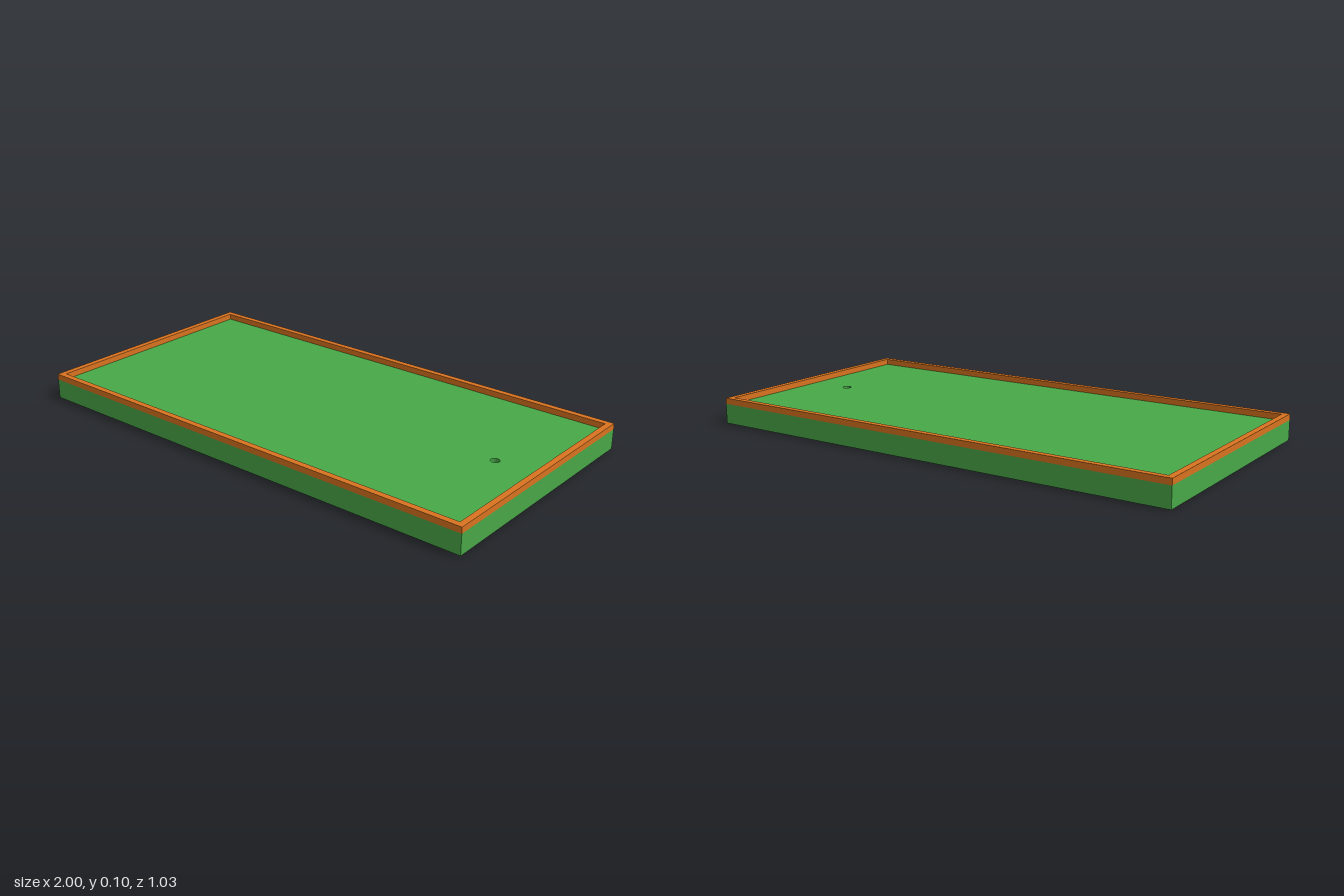
import * as THREE from 'three';

const W = 2, D = 1.026, BASE_H = 0.081, TOTAL_H = 0.105, RIM = 0.025;
const CUP = { x: 0.8, z: 0, r: 0.0175, floor: 0.03 };

function rectangle(PathType, w, d) {
  const p = new PathType();
  p.moveTo(-w / 2, -d / 2);
  p.lineTo(w / 2, -d / 2);
  p.lineTo(w / 2, d / 2);
  p.lineTo(-w / 2, d / 2);
  p.closePath();
  return p;
}

// Extrude a floor-plan shape upward from y0 to y1
function slab(name, shape, y0, y1, material) {
  const geo = new THREE.ExtrudeGeometry(shape, { depth: y1 - y0, bevelEnabled: false, curveSegments: 24 });
  geo.rotateX(-Math.PI / 2);
  geo.translate(0, y0, 0);
  const mesh = new THREE.Mesh(geo, material);
  mesh.name = name;
  return mesh;
}

export function createModel() {
  const group = new THREE.Group();
  group.name = 'puttingTray';
  const green = new THREE.MeshStandardMaterial({ color: 0x48a848 });
  const orange = new THREE.MeshStandardMaterial({ color: 0xd9731f });

  // Green bed with a round cup cut into it
  const bed = rectangle(THREE.Shape, W, D);
  const hole = new THREE.Path();
  hole.absarc(CUP.x, -CUP.z, CUP.r, 0, Math.PI * 2, true);
  bed.holes.push(hole);
  group.add(slab('bed', bed, 0, BASE_H, green));

  // Plug that closes the bottom of the cup
  const cupFloor = new THREE.Mesh(new THREE.CylinderGeometry(CUP.r, CUP.r, CUP.floor, 48), green);
  cupFloor.position.set(CUP.x, CUP.floor / 2, CUP.z);
  cupFloor.name = 'cupFloor';
  group.add(cupFloor);

  // Raised border around the edge
  const rim = rectangle(THREE.Shape, W, D);
  rim.holes.push(rectangle(THREE.Path, W - 2 * RIM, D - 2 * RIM));
  group.add(slab('rim', rim, BASE_H, TOTAL_H, orange));

  return group;
}
